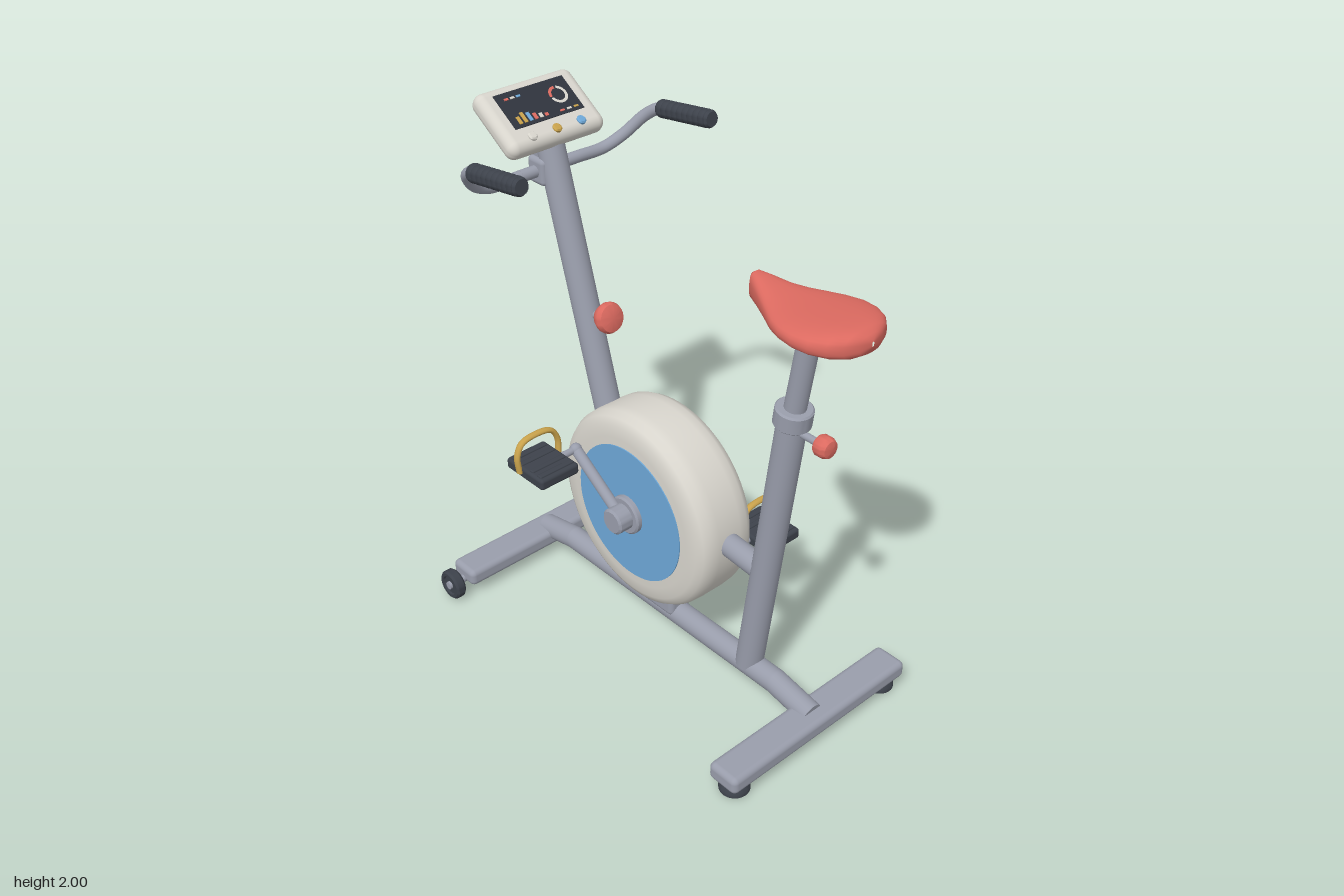
import * as THREE from 'three';
import { toCreasedNormals } from 'three/addons/utils/BufferGeometryUtils.js';
import { RoundedBoxGeometry } from 'three/addons/geometries/RoundedBoxGeometry.js';

const paint = (name, color) => new THREE.MeshStandardMaterial({ name, color });
const V = (x, y, z = 0) => new THREE.Vector3(x, y, z);
const UP = V(0, 1, 0);

export function createModel() {
  const model = new THREE.Group();
  model.name = 'exerciseBike';
  const steel = paint('steelGrey', 0x999dab);
  const cream = paint('cream', 0xd8d5cd);
  const blue = paint('blue', 0x6ea8d8);
  const red = paint('coralRed', 0xdc6a60);
  const dark = paint('darkRubber', 0x3d424b);
  const gold = paint('gold', 0xc9a24c);
  const screenDark = paint('screenDark', 0x30343d);

  const add = (name, geometry, material, pos = V(0, 0), parent = model) => {
    const mesh = new THREE.Mesh(geometry, material);
    mesh.name = name;
    mesh.position.copy(pos);
    parent.add(mesh);
    return mesh;
  };
  // straight round bar between two points
  const rod = (name, a, b, r, material = steel, parent = model) => {
    const mesh = add(name, new THREE.CylinderGeometry(r, r, a.distanceTo(b), 28), material, a.clone().lerp(b, 0.5), parent);
    mesh.quaternion.setFromUnitVectors(UP, b.clone().sub(a).normalize());
    return mesh;
  };
  const box = (name, w, h, d, r, material, pos, parent = model) =>
    add(name, new RoundedBoxGeometry(w, h, d, 4, r), material, pos, parent);
  // turned part, profile listed from the low end to the high end, along a direction
  const turned = (name, profile, material, pos, dir = UP, parent = model, sides = 40) => {
    const geo = new THREE.LatheGeometry(profile.map(p => new THREE.Vector2(...p)), sides);
    const mesh = add(name, toCreasedNormals(geo, 0.65), material, pos, parent);
    mesh.quaternion.setFromUnitVectors(UP, dir.clone().normalize());
    return mesh;
  };
  const Z = V(0, 0, 1);

  // base beam with dropped ends
  const beam = [V(-0.78, 0.10), V(-0.6, 0.136), V(0.52, 0.136), V(0.70, 0.10)];
  for (let i = 0; i < 3; i++) rod('baseBeam', beam[i], beam[i + 1], 0.045);
  for (const p of [beam[1], beam[2]]) add('beamBend', new THREE.SphereGeometry(0.045, 24, 16), steel, p);
  box('frontCrossbar', 0.13, 0.07, 0.87, 0.022, steel, V(-0.775, 0.085));
  box('rearCrossbar', 0.13, 0.07, 0.87, 0.022, steel, V(0.695, 0.085));

  for (const s of [1, -1]) {
    // transport wheels and levelling feet
    rod('wheelAxle', V(-0.775, 0.062, s * 0.4), V(-0.775, 0.062, s * 0.507), 0.016);
    turned('transportWheel', [[0.022, -0.014], [0.036, -0.014], [0.04, -0.021], [0.053, -0.021], [0.06, -0.013],
      [0.06, 0.013], [0.053, 0.021], [0.04, 0.021], [0.036, 0.014], [0, 0.014]], dark, V(-0.775, 0.061, s * 0.483), V(0, 0, s));
    turned('rearFoot', [[0, 0], [0.046, 0], [0.055, 0.008], [0.055, 0.022], [0.045, 0.036], [0.03, 0.038], [0.03, 0.055]],
      dark, V(0.695, 0, s * 0.37));
  }

  // flywheel housing with blue side discs
  const hub = V(-0.11, 0.6);
  const half = [[0.39, 0.05], [0.387, 0.085], [0.372, 0.112], [0.345, 0.126], [0.3, 0.13], [0, 0.13]];
  turned('flywheelHousing', [...half.map(([r, y]) => [r, -y]).reverse(), ...half], cream, hub, Z, model, 72);
  for (const s of [1, -1])
    turned('flywheelDisc', [[0.27, 0], [0.27, 0.005], [0, 0.005]], blue, V(hub.x, hub.y, s * 0.129), V(0, 0, s), model, 72);
  box('housingBracket', 0.275, 0.14, 0.1, 0.02, steel, V(-0.112, 0.21));
  rod('housingStrut', V(0.2, 0.617), V(0.42, 0.597), 0.043);

  // cranks and pedals, half a turn apart
  for (const s of [1, -1]) {
    const end = V(hub.x - s * 0.247, hub.y + s * 0.172, s * 0.168);
    turned('crankHub', [[0.075, 0], [0.075, 0.022], [0.068, 0.028], [0, 0.028]], steel, V(hub.x, hub.y, s * 0.128), V(0, 0, s));
    turned('crankBoss', [[0.05, 0], [0.05, 0.055], [0.042, 0.062], [0, 0.062]], steel, V(hub.x, hub.y, s * 0.153), V(0, 0, s));
    rod('crankArm', V(hub.x, hub.y, s * 0.168), end, 0.021);
    add('crankEnd', new THREE.SphereGeometry(0.023, 20, 14), steel, end);
    rod('pedalSpindle', end, V(end.x, end.y, s * 0.3), 0.013);

    const pedal = new THREE.Group();
    pedal.name = 'pedal';
    pedal.position.set(end.x, end.y, s * 0.32);
    model.add(pedal);
    box('pedalBody', 0.205, 0.044, 0.17, 0.012, dark, V(0, 0), pedal);
    for (const x of [-0.075, -0.03, 0.03, 0.075])
      for (const y of [-1, 1]) box('pedalTread', 0.022, 0.014, 0.15, 0.005, dark, V(x, y * 0.021), pedal);
    const arch = [[-0.088, 0], [-0.09, 0.065], [-0.065, 0.108], [0, 0.12], [0.065, 0.108], [0.09, 0.065], [0.088, 0]];
    const strap = new THREE.CatmullRomCurve3(arch.map(([z, y]) => V(-0.022 + (0.12 - y) * 0.06, y, z)));
    const strapMesh = add('toeStrap', new THREE.TubeGeometry(strap, 36, 0.01, 10), gold, V(0, 0), pedal);
    strapMesh.scale.x = 1.4;
  }

  // seat post, collar and adjusting knob
  rod('seatTube', V(0.39, 0.14), V(0.541, 1.27), 0.051);
  rod('seatPost', V(0.53, 1.2), V(0.593, 1.59), 0.037);
  turned('seatCollar', [[0.04, -0.034], [0.058, -0.034], [0.064, -0.028], [0.064, 0.028], [0.058, 0.034], [0.035, 0.034]],
    steel, V(0.542, 1.28), V(0.15, 1.13));
  rod('seatKnobShaft', V(0.53, 1.23), V(0.67, 1.23), 0.013);
  turned('seatKnob', [[0, 0], [0.032, 0], [0.037, 0.008], [0.037, 0.035], [0.03, 0.05], [0.015, 0.055], [0, 0.055]],
    red, V(0.655, 1.23), V(1, 0));
  box('seatBracket', 0.205, 0.05, 0.1, 0.015, steel, V(0.573, 1.595));

  // saddle lofted from sections: x, half width, bottom, top
  const sections = [[0.345, 0.003, 1.66, 1.69], [0.348, 0.016, 1.637, 1.712], [0.36, 0.03, 1.626, 1.72], [0.4, 0.049, 1.62, 1.716],
    [0.45, 0.075, 1.618, 1.704], [0.5, 0.104, 1.619, 1.697], [0.55, 0.134, 1.621, 1.695], [0.6, 0.154, 1.622, 1.697],
    [0.66, 0.165, 1.621, 1.702], [0.72, 0.157, 1.618, 1.707], [0.77, 0.131, 1.617, 1.71], [0.805, 0.094, 1.621, 1.708],
    [0.827, 0.05, 1.634, 1.698], [0.835, 0.004, 1.658, 1.675]];
  const n = 32, verts = [], faces = [];
  const bulge = (v, e) => Math.sign(v) * Math.abs(v) ** e;
  sections.forEach(([x, w, lo, hi], i) => {
    for (let j = 0; j < n; j++) {
      const t = j / n * Math.PI * 2;
      verts.push(x, (lo + hi) / 2 + (hi - lo) / 2 * bulge(Math.sin(t), 0.7), w * bulge(Math.cos(t), 0.8));
      if (i === sections.length - 1) continue;
      const a = i * n + j, b = i * n + (j + 1) % n;
      faces.push(a, a + n, b, b, a + n, b + n);
    }
  });
  const saddle = new THREE.BufferGeometry();
  saddle.setAttribute('position', new THREE.Float32BufferAttribute(verts, 3));
  saddle.setIndex(faces);
  saddle.computeVertexNormals();
  add('saddle', saddle, red);

  // front post, tension knob, clamp and console neck
  rod('frontPost', V(-0.335, 0.75), V(-0.645, 1.84), 0.05);
  const out = V(0.96, 0.27).normalize();
  rod('tensionShaft', V(-0.47, 1.225), V(-0.37, 1.253), 0.015);
  turned('tensionKnob', [[0, 0], [0.036, 0], [0.042, 0.008], [0.055, 0.03], [0.057, 0.045], [0.05, 0.06], [0.03, 0.067], [0, 0.068]],
    red, V(-0.39, 1.246), out);
  box('handlebarClamp', 0.09, 0.1, 0.12, 0.018, steel, V(-0.655, 1.73));
  const neck = box('consoleNeck', 0.09, 0.15, 0.09, 0.01, steel, V(-0.675, 1.815));
  neck.rotation.z = 0.6;

  // handlebars with ribbed grips
  const arm = [[-0.655, 1.73, 0.12], [-0.655, 1.73, 0.25], [-0.635, 1.765, 0.325], [-0.585, 1.835, 0.385], [-0.525, 1.873, 0.403], [-0.45, 1.884, 0.405]];
  rod('handlebarCentre', V(-0.655, 1.73, -0.125), V(-0.655, 1.73, 0.125), 0.022);
  const grip = [[0, 0], [0.026, 0], [0.031, 0.006]];
  for (let i = 0; i < 9; i++) grip.push([0.033, 0.012 + i * 0.027], [0.033, 0.026 + i * 0.027], [0.03, 0.032 + i * 0.027]);
  grip.push([0.032, 0.255], [0.026, 0.265], [0, 0.265]);
  for (const s of [1, -1]) {
    const path = new THREE.CatmullRomCurve3(arm.map(([x, y, z]) => V(x, y, s * z)));
    add('handlebarArm', new THREE.TubeGeometry(path, 48, 0.022, 16), steel);
    turned('handleGrip', grip, dark, V(-0.525, 1.873, s * 0.405), V(0.26, 0.036), model, 24);
  }

  // console: local x runs down towards the rider, local y out of the face
  const consoleGroup = new THREE.Group();
  consoleGroup.name = 'console';
  consoleGroup.position.set(-0.695, 1.911, 0);
  consoleGroup.rotation.z = -0.59;
  model.add(consoleGroup);
  const face = 0.0375;
  box('consoleCase', 0.262, face * 2, 0.41, 0.034, cream, V(0, 0), consoleGroup);
  const plate = (name, w, d, material, x, z, y = face + 0.004) =>
    add(name, new THREE.BoxGeometry(w, 0.004, d), material, V(x, y, z), consoleGroup);
  plate('screen', 0.145, 0.295, screenDark, -0.02, 0, face + 0.001);
  // bar chart
  [[0.115, 0.03, gold], [0.093, 0.042, gold], [0.071, 0.035, blue], [0.049, 0.025, red], [0.027, 0.018, cream], [0.005, 0.012, red]]
    .forEach(([z, h, m]) => plate('chartBar', h, 0.013, m, 0.04 - h / 2, z));
  // readout dashes
  [[0.11, red], [0.085, cream], [0.06, blue]].forEach(([z, m]) => plate('readoutDash', 0.008, 0.016, m, -0.065, z));
  [[-0.06, red], [-0.09, cream], [-0.12, gold]].forEach(([z, m]) => plate('readoutDash', 0.007, 0.018, m, 0.038, z));
  // dial
  for (const [start, arc, m] of [[3.1, 1.7, red], [4.95, 4.2, cream]]) {
    const dial = new THREE.RingGeometry(0.025, 0.036, 28, 1, start, arc);
    add('dialArc', dial.rotateX(-Math.PI / 2), m, V(-0.025, face + 0.005, -0.085), consoleGroup);
  }
  // buttons
  [[0.105, cream], [0, gold], [-0.105, blue]].forEach(([z, m]) =>
    turned('button', [[0.017, -0.012], [0.017, 0.004], [0.012, 0.009], [0, 0.01]], m, V(0.094, face, z), UP, consoleGroup, 24));

  return model;
}
